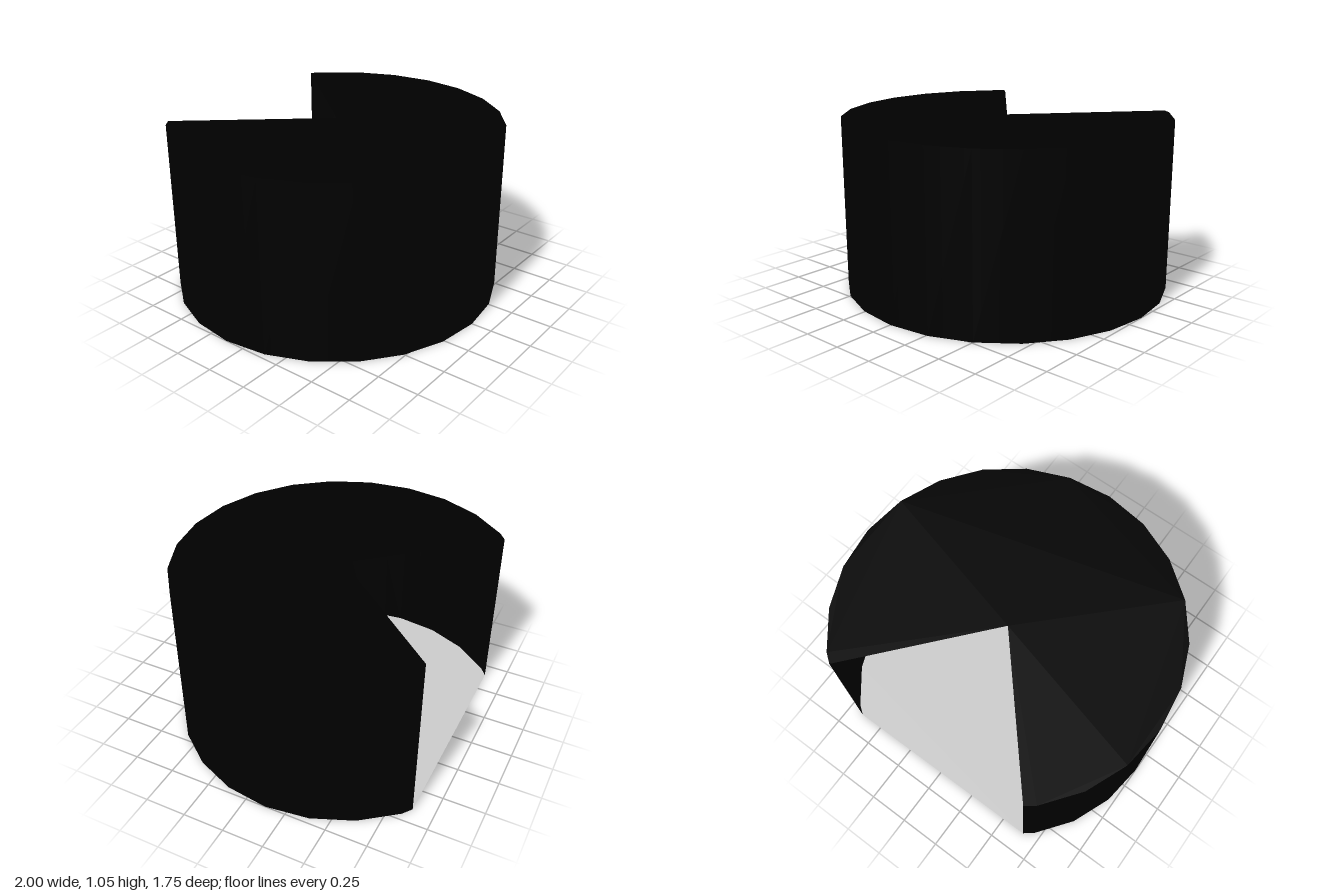
import * as THREE from 'three';

const HEIGHT = 1.05;
const CHORD = -0.75; // where the flat back cuts the round plan
const CENTRE_Z = -0.125;
const SIDES = 20; // of a 24-sided circle, the rest is open

// Plan outline from back right round the front to back left, as (x, z)
function outline() {
  const points = [];
  for (let i = 0; i <= SIDES; i++) {
    const a = ((i - SIDES / 2) * Math.PI) / 12;
    points.push(new THREE.Vector2(Math.sin(a), Math.cos(a)));
  }
  // Pull both ends back along their facets to the chord
  for (const [end, next] of [[0, 1], [SIDES, SIDES - 1]]) {
    const t = (CHORD - points[end].y) / (points[next].y - points[end].y);
    points[end].lerp(points[next], t);
  }
  return points;
}

// Flat horizontal sheet, facing up
function sheet(points, y) {
  const shape = new THREE.Shape(points.map((p) => new THREE.Vector2(p.x, -p.y)));
  return new THREE.ShapeGeometry(shape).rotateX(-Math.PI / 2).translate(0, y, 0);
}

export function createModel() {
  const group = new THREE.Group();
  const black = new THREE.MeshStandardMaterial({ color: 0x000000, side: THREE.DoubleSide });
  const grey = new THREE.MeshStandardMaterial({ color: 0xcccccc, side: THREE.DoubleSide });
  const points = outline();

  const add = (name, geometry, material) => {
    const mesh = new THREE.Mesh(geometry, material);
    mesh.name = name;
    mesh.position.z = CENTRE_Z;
    group.add(mesh);
  };

  // Curved wall, open at the back
  const wall = new THREE.CylinderGeometry(1, 1, HEIGHT, SIDES, 1, true, (-SIDES / 2) * Math.PI / 12, SIDES * Math.PI / 12);
  const pos = wall.attributes.position;
  for (let i = 0; i < pos.count; i++) {
    const p = points[i % (SIDES + 1)];
    pos.setXYZ(i, p.x, pos.getY(i) + HEIGHT / 2, p.y);
  }
  add('curvedWall', wall, black);

  // Roof with a wedge cut in to the centre
  add('roof', sheet([...points, new THREE.Vector2(0, 0)], HEIGHT), black);

  // Floor, straight across the back
  add('floor', sheet(points, 0), grey);

  return group;
}
